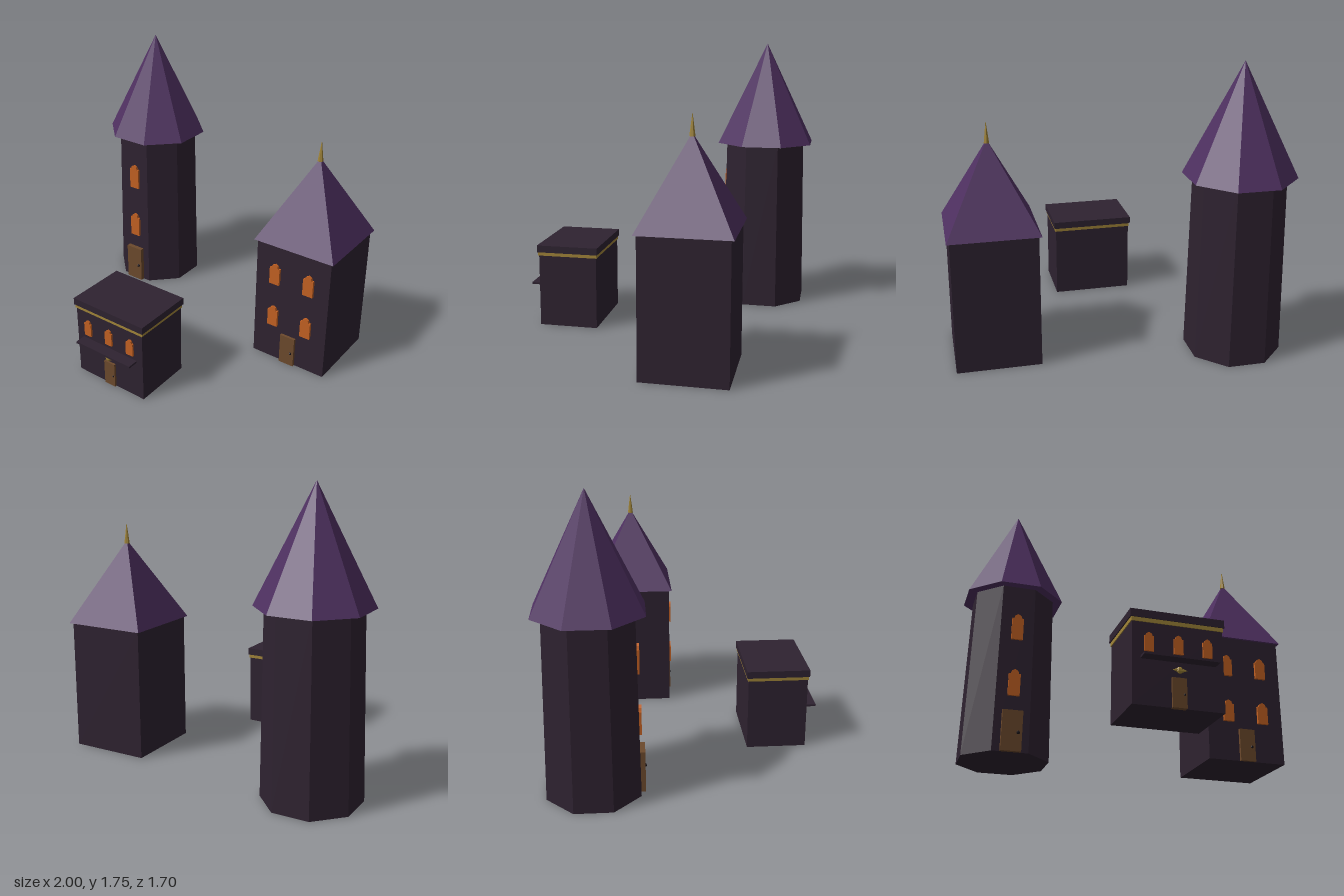
import * as THREE from 'three';

const mat = (name, color) => {
  const m = new THREE.MeshStandardMaterial({ color, flatShading: true });
  m.name = name;
  return m;
};

export function createModel() {
  const stone = mat('dark stone', 0x2e2230);
  const purple = mat('purple roof', 0x4e3060);
  const glow = mat('orange window', 0xc26022);
  const wood = mat('brown door', 0x6c492c);
  const gold = mat('gold', 0xa08438);
  const iron = mat('dark iron', 0x1c161c);

  const add = (parent, name, geo, material, x, y, z) => {
    const mesh = new THREE.Mesh(geo, material);
    mesh.name = name;
    mesh.position.set(x, y, z);
    parent.add(mesh);
    return mesh;
  };
  const building = (name, x, z) => {
    const g = new THREE.Group();
    g.name = name;
    g.position.set(x, 0, z);
    return g;
  };
  const box = (w, h, d) => new THREE.BoxGeometry(w, h, d);

  // Pointed window: a pane with a narrower arched tip; y is the sill, z the outer face
  const addWindow = (parent, x, y, z, w, h) => {
    const s = new THREE.Shape();
    const shoulder = h - w * 0.4;
    [[-w / 2, 0], [w / 2, 0], [w / 2, shoulder], [w * 0.36, shoulder], [w * 0.26, h - w * 0.14],
      [0, h], [-w * 0.26, h - w * 0.14], [-w * 0.36, shoulder], [-w / 2, shoulder]]
      .forEach(([px, py], i) => (i ? s.lineTo(px, py) : s.moveTo(px, py)));
    const geo = new THREE.ExtrudeGeometry(s, { depth: 0.03, bevelEnabled: false });
    add(parent, 'window', geo, glow, x, y, z - 0.03);
  };

  // Door with a small round knob on its right side; z is the outer face
  const addDoor = (parent, w, h, z, knobX, knobY, r) => {
    add(parent, 'door', box(w, h, 0.03), wood, 0, h / 2, z - 0.015);
    add(parent, 'doorKnob', new THREE.SphereGeometry(r, 6, 5), iron, knobX, knobY, z);
  };

  const model = new THREE.Group();
  model.name = 'village';

  // Octagonal tower
  const tower = building('tower', -0.692, -0.541);
  const oct = Math.PI / 8;
  add(tower, 'towerWall', new THREE.CylinderGeometry(0.271, 0.291, 1.1, 8), stone, 0, 0.55, 0).rotation.y = oct;
  add(tower, 'towerRoof', new THREE.ConeGeometry(0.333, 0.665, 8), purple, 0, 1.4225, 0).rotation.y = oct;
  addWindow(tower, 0, 0.35, 0.277, 0.073, 0.17);
  addWindow(tower, 0, 0.722, 0.27, 0.073, 0.172);
  addDoor(tower, 0.125, 0.252, 0.295, 0.038, 0.115, 0.011);
  model.add(tower);

  // Square house with a pyramid roof
  const house = building('house', 0.73, -0.285);
  add(house, 'houseWall', box(0.5, 0.81, 0.5), stone, 0, 0.405, 0);
  const roof = new THREE.ConeGeometry(0.267 * Math.SQRT2, 0.512, 4);
  add(house, 'houseRoof', roof, purple, 0, 1.064, 0).rotation.y = Math.PI / 4;
  add(house, 'roofSpire', new THREE.ConeGeometry(0.017, 0.13, 6), gold, 0, 1.365, 0);
  for (const x of [-0.115, 0.115]) {
    for (const y of [0.245, 0.545]) addWindow(house, x, y, 0.267, 0.068, 0.138);
  }
  addDoor(house, 0.1, 0.2, 0.268, 0.028, 0.09, 0.009);
  model.add(house);

  // Flat-roofed shop
  const shop = building('shop', -0.023, 0.595);
  add(shop, 'shopWall', box(0.505, 0.46, 0.37), stone, 0, 0.23, 0);
  add(shop, 'goldTrim', box(0.515, 0.022, 0.38), gold, 0, 0.465, 0);
  add(shop, 'flatRoof', box(0.527, 0.044, 0.39), stone, 0, 0.498, 0);
  add(shop, 'canopy', box(0.415, 0.012, 0.08), stone, 0, 0.255, 0.214);
  for (const x of [-0.162, 0, 0.162]) addWindow(shop, x, 0.29, 0.197, 0.052, 0.106);
  addDoor(shop, 0.08, 0.162, 0.198, 0.027, 0.073, 0.006);

  // Winged ornament above the door
  const emblem = building('ornament', 0, 0.203);
  emblem.position.y = 0.2;
  add(emblem, 'ornamentBody', new THREE.SphereGeometry(0.019, 6, 5), gold, 0, 0, 0).scale.z = 0.65;
  for (const side of [-1, 1]) {
    const wing = add(emblem, 'ornamentWing', new THREE.ConeGeometry(0.014, 0.036, 4), gold, side * 0.024, 0, 0);
    wing.rotation.z = -side * Math.PI / 2;
    wing.scale.z = 0.5;
  }
  shop.add(emblem);
  model.add(shop);

  return model;
}
